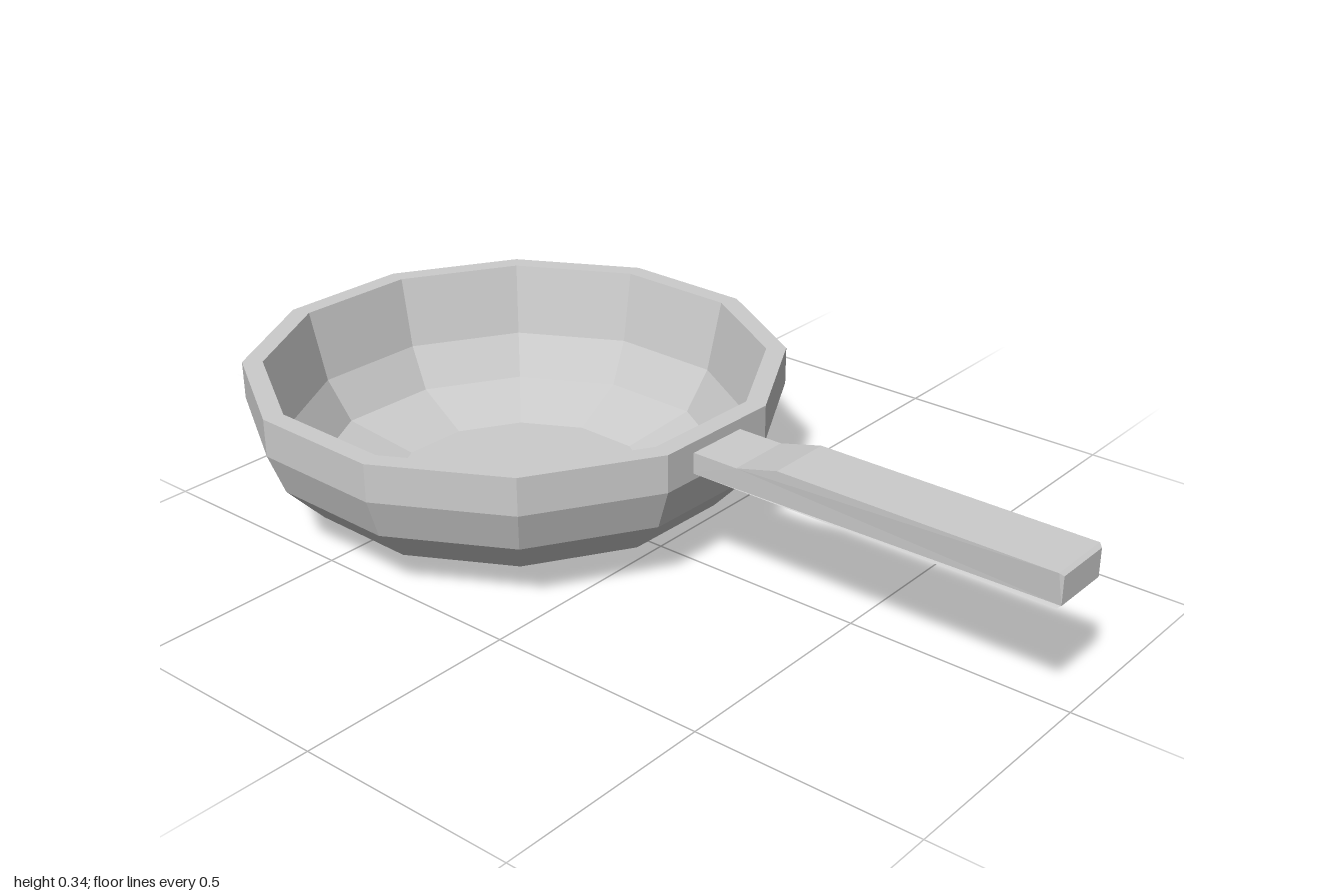
import * as THREE from 'three';

export function createModel() {
  const group = new THREE.Group();
  const material = new THREE.MeshStandardMaterial({ color: 0xcccccc, flatShading: true });

  // Bowl: closed twelve-sided profile, outside going up, then inside going down
  const profile = [
    [0, 0], [0.348, 0], [0.486, 0.073], [0.566, 0.157], [0.601, 0.25], [0.601, 0.335],
    [0.556, 0.335], [0.518, 0.172], [0.46, 0.078], [0.295, 0.03], [0, 0.03],
  ].map(([r, y]) => new THREE.Vector2(r, y));
  const bowl = new THREE.Mesh(
    new THREE.LatheGeometry(profile, 12, THREE.MathUtils.degToRad(13.7)), material);
  bowl.name = 'bowl';
  bowl.position.x = -0.417;
  group.add(bowl);

  // Handle: side profile with a thin neck and a small chamfer at the tip
  const side = new THREE.Shape([
    [0.15, 0.264], [0.992, 0.264], [1, 0.27], [1, 0.331], [0.992, 0.337],
    [0.37, 0.337], [0.27, 0.311], [0.15, 0.311],
  ].map(([x, y]) => new THREE.Vector2(x, y)));
  const handleGeometry = new THREE.ExtrudeGeometry(side, { depth: 0.148, bevelEnabled: false });
  handleGeometry.translate(0, 0, -0.058);

  // Narrow the tip sideways to complete the chamfer
  const pos = handleGeometry.attributes.position;
  for (let i = 0; i < pos.count; i++) {
    if (pos.getX(i) > 0.996) pos.setZ(i, THREE.MathUtils.clamp(pos.getZ(i), -0.052, 0.084));
  }
  handleGeometry.computeVertexNormals();
  const handle = new THREE.Mesh(handleGeometry, material);
  handle.name = 'handle';
  group.add(handle);

  return group;
}
